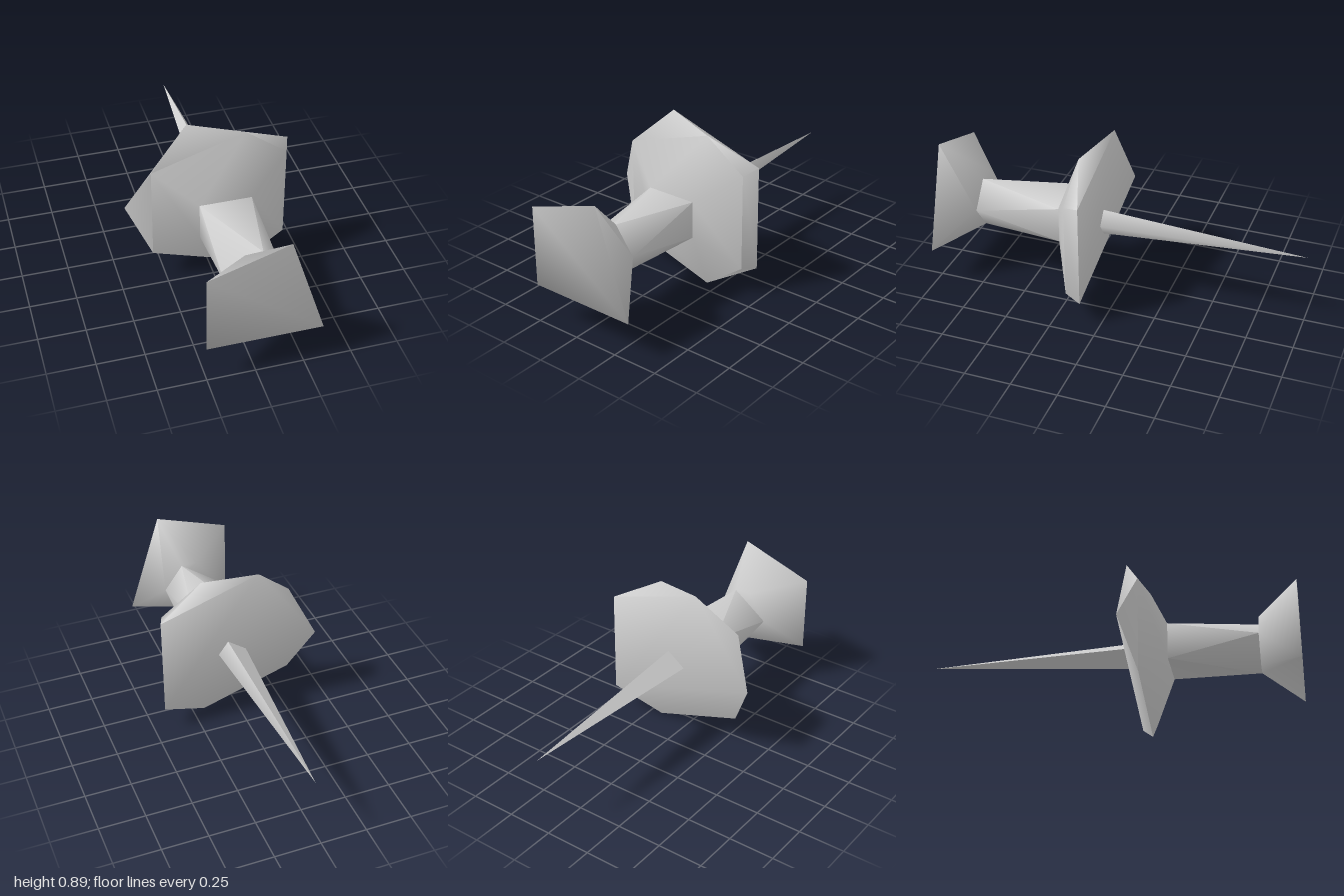
import * as THREE from 'three';
import { ConvexGeometry } from 'three/addons/geometries/ConvexGeometry.js';
import { toCreasedNormals } from 'three/addons/utils/BufferGeometryUtils.js';

// Axis of the pin, running along z
const CX = 0.045, CY = 0.43;

// Points on a circle around the axis, at the given angles in degrees
function ring(z, radius, angles) {
  return angles.map((a) => {
    const t = THREE.MathUtils.degToRad(a);
    return new THREE.Vector3(CX + radius * Math.cos(t), CY + radius * Math.sin(t), z);
  });
}

export function createModel() {
  const group = new THREE.Group();
  const lightGrey = new THREE.MeshStandardMaterial({ color: 0xcccccc });
  lightGrey.name = 'light grey';

  // Faceted solid spanned by its rings, smoothed up to the crease angle
  function part(name, creaseDegrees, ...rings) {
    const hull = new ConvexGeometry(rings.flat());
    const geometry = toCreasedNormals(hull, THREE.MathUtils.degToRad(creaseDegrees));
    const mesh = new THREE.Mesh(geometry, lightGrey);
    mesh.name = name;
    group.add(mesh);
  }

  const flangeFront = ring(0.19, 0.447, [36, 72, 144, -144, -72, -36]);
  const flangeBack = ring(0.1, 0.488, [36, 108, 180, -36]);
  const neckBack = ring(0.312, 0.172, [36, 144, -144, -36]);

  // Flared grip at the front
  part('gripHead', 120,
    ring(1, 0.368, [72, 144, -144, -36]),
    ring(0.787, 0.15, [0, 72, 108, 180, -108, -72]));

  // Narrow shaft between grip and flange
  part('neck', 75, ring(0.787, 0.15, [0, 72, 180, -72]), neckBack);

  // Wide flange: sloping shoulder and rim with back face
  part('flangeShoulder', 60, neckBack, flangeFront);
  part('flangeRim', 85, flangeFront, flangeBack);

  // Pointed needle
  part('needle', 80, ring(0.105, 0.078, [0, 72, 180, -72]), ring(-1, 0, [0]));

  return group;
}
